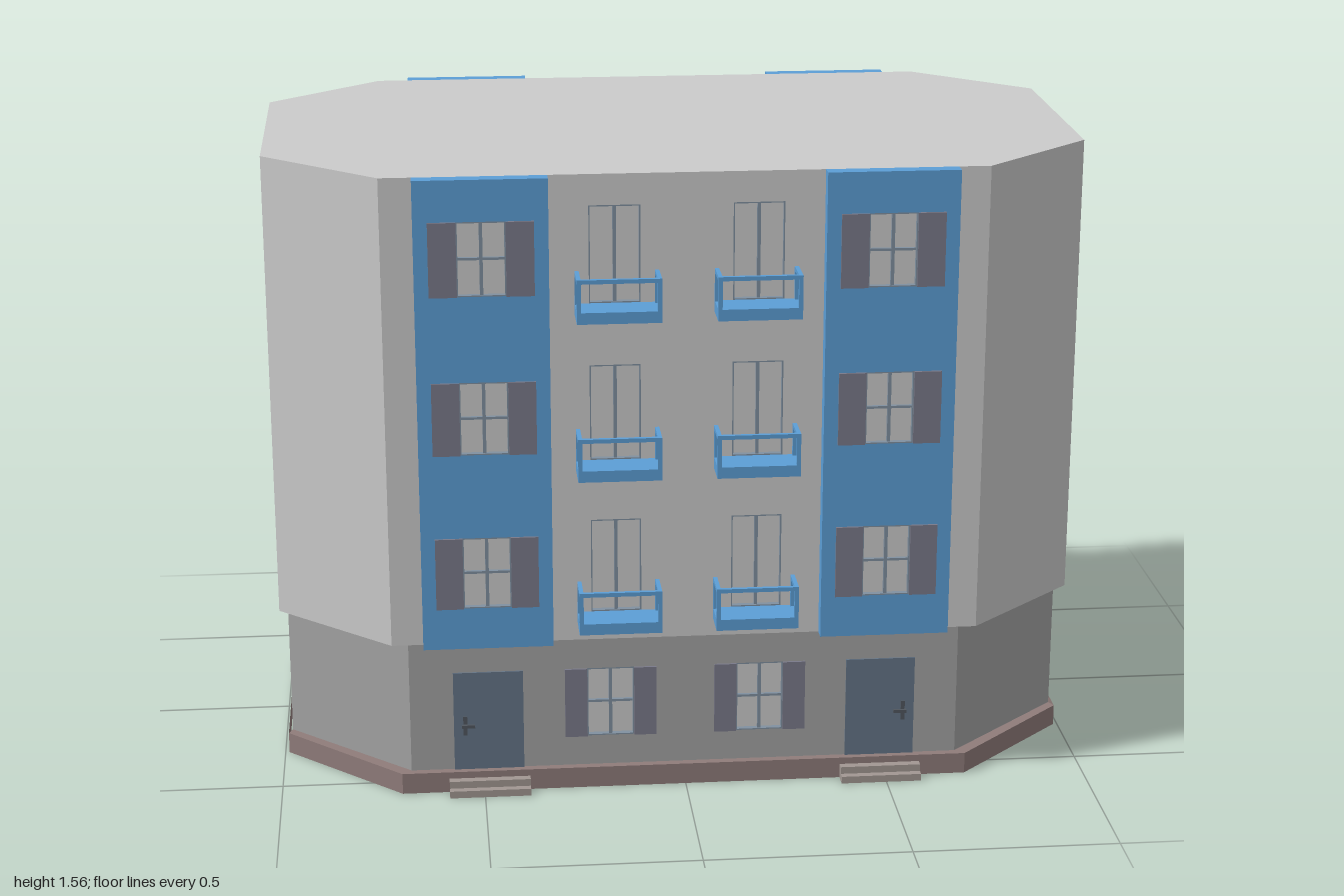
import * as THREE from 'three';

const mat = (color) => new THREE.MeshStandardMaterial({ color, side: THREE.DoubleSide });
const M = {
  wall: mat(0xcccccc), lower: mat(0xa3a3a3), plinth: mat(0x8f7c7a), step: mat(0xa19792), blue: mat(0x5c9ed6),
  glass: mat(0xdddddd), bar: mat(0x8090a0), shutter: mat(0x7a7a8a), door: mat(0x647587), handle: mat(0x50565e),
};

// Octagonal storeys: x/z extent, chamfer corner, bottom and top
const UPPER = { X: 1.0, Z: 0.57, cx: 0.72, cz: 0.313, y0: 0.395, y1: 1.56 };
const LOWER = { X: 0.98, Z: 0.55, cx: 0.68, cz: 0.272, y0: 0.053, y1: 0.395 };
const PLINTH = { X: 0.99, Z: 0.57, cx: 0.703, cz: 0.295, y0: 0, y1: 0.053 };
const FLOORS = [0.44, 0.83, 1.22]; // underside of the balconies

function add(parent, name, geometry, material, x = 0, y = 0, z = 0) {
  const mesh = new THREE.Mesh(geometry, material);
  mesh.name = name;
  mesh.position.set(x, y, z);
  parent.add(mesh);
  return mesh;
}

// Box given by its limits
function box(parent, name, material, x0, x1, y0, y1, z0, z1) {
  return add(parent, name, new THREE.BoxGeometry(x1 - x0, y1 - y0, z1 - z0), material,
    (x0 + x1) / 2, (y0 + y1) / 2, (z0 + z1) / 2);
}

const polygon = (pts) => new THREE.Shape(pts.map(([x, y]) => new THREE.Vector2(x, y)));
const corners = ([x0, x1, y0, y1]) => [[x0, y0], [x1, y0], [x1, y1], [x0, y1]];

// Rectangle with rectangular openings
function pierced(rect, openings = []) {
  const shape = polygon(corners(rect));
  for (const o of openings) shape.holes.push(polygon(corners(o).reverse()));
  return shape;
}

const octagon = ({ X, Z, cx, cz }) => polygon([
  [cx, -Z], [X, -cz], [X, cz], [cx, Z], [-cx, Z], [-X, cz], [-X, -cz], [-cx, -Z]]);

function flat(parent, name, shape, material, y) {
  return add(parent, name, new THREE.ShapeGeometry(shape).rotateX(-Math.PI / 2), material, 0, y, 0);
}

function sheet(parent, name, material, rect, openings, z) {
  return add(parent, name, new THREE.ShapeGeometry(pierced(rect, openings)), material, 0, 0, z);
}

// Recessed glazing with reveal and glazing bars, z is the wall face
function glazing(parent, name, [x0, x1, y0, y1], z, crossbar = true) {
  const g = new THREE.Group();
  g.name = name;
  parent.add(g);
  const d = 0.014, t = 0.003, xm = (x0 + x1) / 2, ym = (y0 + y1) / 2;
  const reveal = pierced([x0, x1, y0, y1], [[x0 + t, x1 - t, y0 + t, y1 - t]]);
  add(g, 'reveal', new THREE.ExtrudeGeometry(reveal, { depth: d, bevelEnabled: false }), M.bar, 0, 0, z - d);
  sheet(g, 'pane', M.glass, [x0, x1, y0, y1], [], z - d);
  box(g, 'mullion', M.bar, xm - 0.004, xm + 0.004, y0, y1, z - d, z - 0.004);
  if (crossbar) box(g, 'crossbar', M.bar, x0, x1, ym - 0.003, ym + 0.003, z - d, z - 0.005);
}

function shutters(parent, [x0, x1, y0, y1], z, w) {
  box(parent, 'shutter', M.shutter, x0 - w, x0, y0, y1, z - 0.002, z + 0.006);
  box(parent, 'shutter', M.shutter, x1, x1 + w, y0, y1, z - 0.002, z + 0.006);
}

function balcony(parent, xc, y) {
  const g = new THREE.Group();
  g.name = 'balcony';
  g.position.set(xc, y, 0);
  parent.add(g);
  const w = 0.1, h = 0.107, t = 0.01, back = 0.57, front = 0.655;
  box(g, 'balconyFloor', M.blue, -w, w, 0, 0.028, back, front);
  box(g, 'frontRail', M.blue, -w, w, h - t, h, front - t, front);
  for (const s of [-1, 1]) {
    const a = s * w, b = s * (w - t), lo = Math.min(a, b), hi = Math.max(a, b);
    box(g, 'sideRail', M.blue, lo, hi, h - t, h, back, front - t);
    box(g, 'frontPost', M.blue, lo, hi, 0.028, h - t, front - t, front);
    box(g, 'wallPost', M.blue, lo, hi, 0.028, h - t, back, back + t);
  }
}

// Long side of the building, facing +z
function facade() {
  const g = new THREE.Group();
  g.name = 'facade';
  const { Z, cx, y0, y1 } = UPPER, pz = 0.605;

  // Upper wall between and beside the coloured panels
  const doors = [];
  for (const s of [-1, 1]) for (const f of FLOORS) {
    const xc = s * 0.171;
    doors.push([xc - 0.061, xc + 0.061, f + 0.028, f + 0.265]);
    balcony(g, s * 0.166, f);
  }
  sheet(g, 'upperWall', M.wall, [-0.327, 0.327, y0, y1], doors, Z);
  doors.forEach((o) => glazing(g, 'balconyDoor', o, Z, false));

  for (const s of [-1, 1]) {
    sheet(g, 'upperWallEdge', M.wall, s > 0 ? [0.643, cx, y0, y1] : [-cx, -0.643, y0, y1], [], Z);

    // Projecting panel with shuttered windows
    const px = s * 0.485;
    const holes = FLOORS.map((f) => [px - 0.058, px + 0.058, f + 0.06, f + 0.24]);
    const panel = pierced([px - 0.158, px + 0.158, y0, y1], holes);
    add(g, 'panel', new THREE.ExtrudeGeometry(panel, { depth: pz - Z, bevelEnabled: false }), M.blue, 0, 0, Z);
    for (const o of holes) {
      glazing(g, 'panelWindow', o, pz);
      shutters(g, o, pz, 0.066);
    }
  }

  // Ground floor wall with entrances and windows
  const L = LOWER, openings = [-1, 1].map((s) => [s * 0.185 - 0.058, s * 0.185 + 0.058, 0.13, 0.31]);
  sheet(g, 'groundWall', M.lower, [-L.cx, L.cx, L.y0, L.y1], openings, L.Z);
  for (const o of openings) {
    glazing(g, 'groundWindow', o, L.Z);
    shutters(g, o, L.Z, 0.055);
  }
  for (const s of [-1, 1]) {
    const dx = s * 0.487, hx = s * 0.545;
    box(g, 'entranceDoor', M.door, dx - 0.086, dx + 0.086, L.y0, 0.31, L.Z - 0.008, L.Z + 0.004);
    box(g, 'handlePlate', M.handle, hx - 0.005, hx + 0.005, 0.145, 0.195, L.Z + 0.004, L.Z + 0.007);
    box(g, 'handleLever', M.handle, hx - s * 0.008 - 0.016, hx - s * 0.008 + 0.016, 0.166, 0.174, L.Z + 0.007, L.Z + 0.014);
    box(g, 'lowerStep', M.step, dx - 0.1, dx + 0.1, 0, 0.018, PLINTH.Z - 0.01, 0.608);
    box(g, 'upperStep', M.step, dx - 0.1, dx + 0.1, 0.018, 0.036, PLINTH.Z - 0.01, 0.59);
  }

  // Plinth face and its ledge
  const P = PLINTH;
  sheet(g, 'plinthFace', M.plinth, [-P.cx, P.cx, P.y0, P.y1], [], P.Z);
  flat(g, 'plinthLedge', polygon([
    [-P.X, -P.cz], [-P.cx, -P.Z], [P.cx, -P.Z], [P.X, -P.cz],
    [L.X, -L.cz], [L.cx, -L.Z], [-L.cx, -L.Z], [-L.X, -L.cz]]), M.plinth, P.y1);
  return g;
}

// Short end of the building, built facing +z
function endWall() {
  const g = new THREE.Group();
  g.name = 'endWall';
  const upper = [], lower = [];
  for (const s of [-1, 1]) {
    for (const f of FLOORS) upper.push([s * 0.152 - 0.054, s * 0.152 + 0.054, f + 0.083, f + 0.216]);
    lower.push([s * 0.156 - 0.057, s * 0.156 + 0.057, 0.15, 0.302]);
  }
  for (const [name, s, m, holes] of [
    ['upperEnd', UPPER, M.wall, upper], ['groundEnd', LOWER, M.lower, lower], ['plinthEnd', PLINTH, M.plinth, []]]) {
    sheet(g, name, m, [-s.cz, s.cz, s.y0, s.y1], holes, s.X);
    holes.forEach((o) => glazing(g, 'endWindow', o, s.X));
  }
  return g;
}

// Four chamfered corners of one storey
function chamfers(parent, name, { X, Z, cx, cz, y0, y1 }, material) {
  const length = Math.hypot(X - cx, Z - cz);
  for (const sx of [-1, 1]) for (const sz of [-1, 1]) {
    const m = add(parent, name, new THREE.PlaneGeometry(length, y1 - y0), material,
      sx * (X + cx) / 2, (y0 + y1) / 2, sz * (Z + cz) / 2);
    m.rotation.y = Math.atan2(sx * (Z - cz), sz * (X - cx));
  }
}

export function createModel() {
  const model = new THREE.Group();
  model.name = 'apartmentBlock';

  for (const turn of [0, Math.PI]) {
    const f = facade();
    f.rotation.y = turn;
    const e = endWall();
    e.rotation.y = turn + Math.PI / 2;
    model.add(f, e);
  }
  chamfers(model, 'upperCorner', UPPER, M.wall);
  chamfers(model, 'groundCorner', LOWER, M.lower);
  chamfers(model, 'plinthCorner', PLINTH, M.plinth);

  // Roof and the underside of the overhang
  flat(model, 'roof', octagon(UPPER), M.wall, UPPER.y1);
  const soffit = octagon(UPPER);
  soffit.holes.push(octagon(LOWER));
  flat(model, 'soffit', soffit, M.lower, UPPER.y0);
  return model;
}
